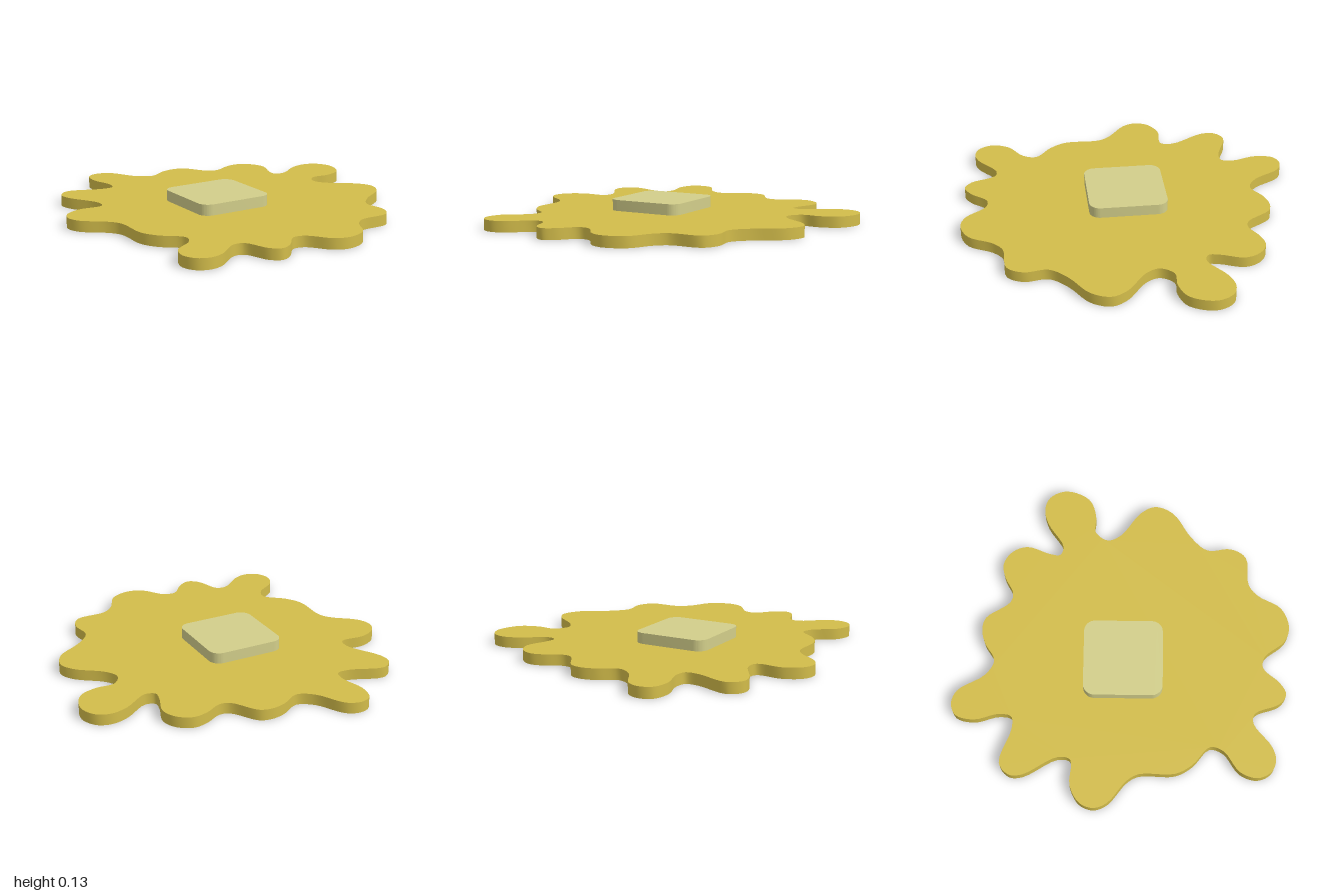
import * as THREE from 'three';
import { toCreasedNormals } from 'three/addons/utils/BufferGeometryUtils.js';

// Lobed outline as x, z pairs, starting at the back lobe
const OUTLINE = [
  -0.39, -1, -0.31, -0.97, -0.21, -0.81, -0.12, -0.76, -0.01, -0.82, 0.08, -0.84, 0.15, -0.82,
  0.25, -0.68, 0.31, -0.665, 0.41, -0.715, 0.5, -0.73, 0.58, -0.68, 0.615, -0.59, 0.57, -0.45,
  0.565, -0.39, 0.62, -0.37, 0.77, -0.465, 0.87, -0.49, 0.95, -0.46, 0.995, -0.36, 0.94, -0.22,
  0.83, -0.175, 0.72, -0.175, 0.665, -0.1, 0.7, -0.02, 0.85, 0.1, 0.895, 0.19, 0.85, 0.3,
  0.69, 0.41, 0.605, 0.51, 0.615, 0.65, 0.56, 0.74, 0.38, 0.755, 0.31, 0.81, 0.23, 0.945,
  0.11, 0.99, 0.02, 0.96, -0.08, 0.84, -0.15, 0.83, -0.24, 0.925, -0.31, 0.96, -0.37, 0.92,
  -0.43, 0.775, -0.49, 0.765, -0.63, 0.87, -0.71, 0.89, -0.78, 0.86, -0.815, 0.78, -0.78, 0.68,
  -0.66, 0.59, -0.635, 0.51, -0.74, 0.41, -0.795, 0.31, -0.80, 0.1, -0.84, 0.03, -0.97, -0.08,
  -1, -0.16, -0.97, -0.24, -0.87, -0.295, -0.72, -0.295, -0.705, -0.37, -0.81, -0.57, -0.81, -0.65,
  -0.74, -0.705, -0.54, -0.64, -0.465, -0.645, -0.45, -0.72, -0.485, -0.86, -0.46, -0.97,
];

// Lays a shape drawn in x, z flat between two heights
function plate(name, shape, bottom, top, material) {
  const geometry = new THREE.ExtrudeGeometry(shape, {
    depth: top - bottom, bevelEnabled: false, curveSegments: 10,
  });
  geometry.rotateX(Math.PI / 2);
  geometry.translate(0, top, 0);
  const mesh = new THREE.Mesh(toCreasedNormals(geometry, Math.PI / 5), material);
  mesh.name = name;
  return mesh;
}

function splatShape() {
  const points = [];
  for (let i = 0; i < OUTLINE.length; i += 2) {
    points.push(new THREE.Vector3(OUTLINE[i], OUTLINE[i + 1], 0));
  }
  const curve = new THREE.CatmullRomCurve3(points, true, 'centripetal');
  const outline = curve.getPoints(points.length * 5).slice(0, -1);
  return new THREE.Shape(outline.map((p) => new THREE.Vector2(p.x, p.y)));
}

function roundedRect(x0, z0, x1, z1, r) {
  const shape = new THREE.Shape();
  shape.absarc(x1 - r, z1 - r, r, 0, Math.PI / 2);
  shape.absarc(x0 + r, z1 - r, r, Math.PI / 2, Math.PI);
  shape.absarc(x0 + r, z0 + r, r, Math.PI, Math.PI * 1.5);
  shape.absarc(x1 - r, z0 + r, r, Math.PI * 1.5, Math.PI * 2);
  shape.closePath();
  return shape;
}

export function createModel() {
  const syrup = new THREE.MeshStandardMaterial({ color: 0xd2bc4a });
  syrup.name = 'golden yellow';
  const butter = new THREE.MeshStandardMaterial({ color: 0xd2ce8a });
  butter.name = 'pale yellow';

  const model = new THREE.Group();
  model.name = 'puddleWithPat';
  // Spreading puddle with the square pat resting on it
  model.add(plate('puddle', splatShape(), 0, 0.065, syrup));
  model.add(plate('squarePat', roundedRect(-0.345, -0.23, 0.115, 0.235, 0.065), 0.065, 0.13, butter));
  return model;
}
